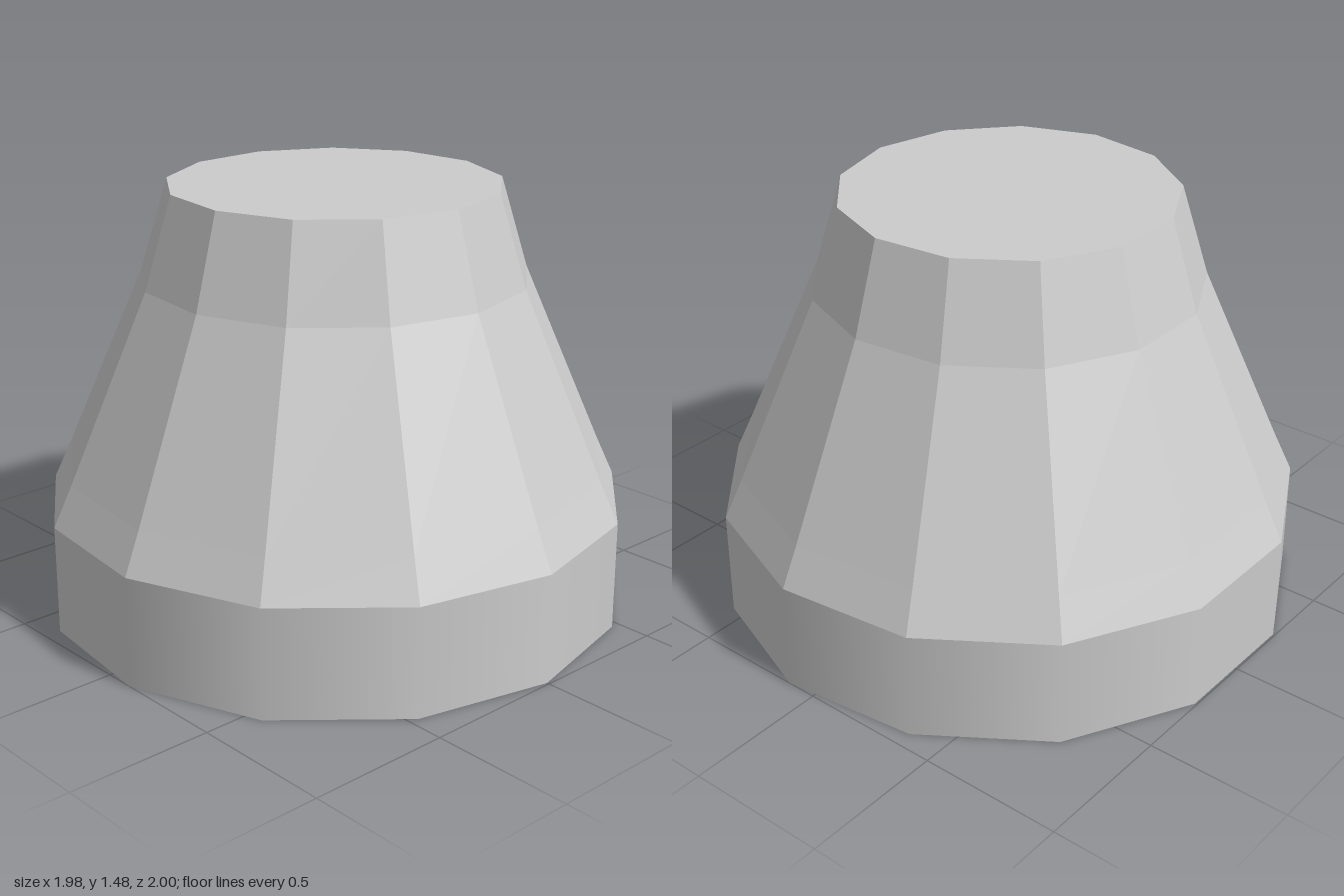
import * as THREE from 'three';

const SIDES = 13;
const material = new THREE.MeshStandardMaterial({ color: 0xcccccc });
const flatMaterial = new THREE.MeshStandardMaterial({ color: 0xcccccc, flatShading: true });

// One 13-sided ring with a corner pointing along +x
function addRing(group, name, rBottom, rTop, y0, y1, mat) {
  const geometry = new THREE.CylinderGeometry(rTop, rBottom, y1 - y0, SIDES, 1, true, Math.PI / 2);
  const mesh = new THREE.Mesh(geometry, mat);
  mesh.name = name;
  mesh.position.y = (y0 + y1) / 2;
  group.add(mesh);
}

// Flat end cap facing up or down
function addCap(group, name, radius, y, up) {
  const mesh = new THREE.Mesh(new THREE.CircleGeometry(radius, SIDES), material);
  mesh.name = name;
  mesh.rotation.x = up ? -Math.PI / 2 : Math.PI / 2;
  mesh.position.y = y;
  group.add(mesh);
}

export function createModel() {
  const model = new THREE.Group();
  model.name = 'taperedPedestal';
  const body = new THREE.Group();
  body.name = 'body';
  body.position.x = -0.015; // an odd side count is off-centre in x
  model.add(body);

  // Smooth-shaded straight base band
  addRing(body, 'baseBand', 1.007, 1.007, 0, 0.38, material);

  // Faceted taper: lower bevel, long slope, steeper neck
  addRing(body, 'lowerBevel', 1.007, 0.943, 0.38, 0.52, flatMaterial);
  addRing(body, 'slope', 0.943, 0.665, 0.52, 1.16, flatMaterial);
  addRing(body, 'neck', 0.665, 0.57, 1.16, 1.475, flatMaterial);

  // Closed top and bottom
  addCap(body, 'topCap', 0.57, 1.475, true);
  addCap(body, 'bottomCap', 1.007, 0, false);
  return model;
}
